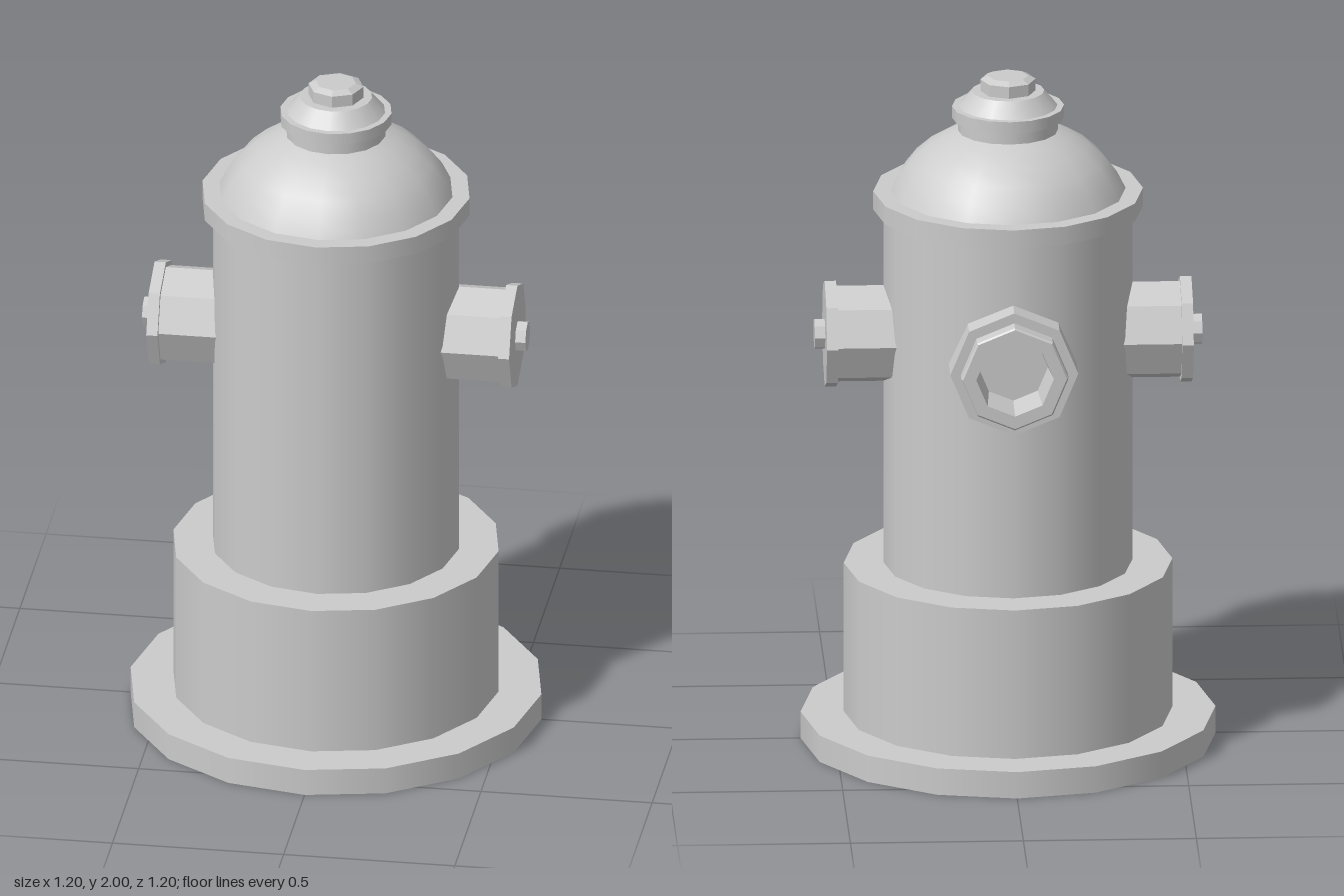
import * as THREE from 'three';

const grey = new THREE.MeshStandardMaterial({ color: 0xcccccc });
const greyFlat = new THREE.MeshStandardMaterial({ color: 0xcccccc, flatShading: true });

function add(parent, name, geometry, material = grey) {
  const mesh = new THREE.Mesh(geometry, material);
  mesh.name = name;
  parent.add(mesh);
  return mesh;
}

// Upright drum between two heights
function drum(parent, name, radius, y0, y1, sides, material, topRadius = radius) {
  const geometry = new THREE.CylinderGeometry(topRadius, radius, y1 - y0, sides);
  geometry.translate(0, (y0 + y1) / 2, 0);
  return add(parent, name, geometry, material);
}

function lathe(points, sides) {
  return new THREE.LatheGeometry(points.map(([r, y]) => new THREE.Vector2(r, y)), sides);
}

// Barrel wall, its rear edge drawn in slightly where the rear outlet joins
function barrelGeometry() {
  const rings = [1.6, 1.4, 1.05, 0.53];
  const geometry = new THREE.CylinderGeometry(0.36, 0.36, 1, 16, 3, true);
  const p = geometry.attributes.position;
  for (let i = 0; i < p.count; i++) {
    const row = Math.floor(i / 17);
    p.setY(i, rings[row]);
    if ((row === 1 || row === 2) && p.getZ(i) < -0.359) p.setZ(i, -0.335);
  }
  return geometry;
}

export function createModel() {
  const model = new THREE.Group();
  model.name = 'hydrant';
  const outletY = 1.225;

  // Stepped base and barrel
  drum(model, 'footPlate', 0.6, 0, 0.08, 16);
  drum(model, 'pedestal', 0.475, 0.08, 0.53, 16);
  add(model, 'barrel', barrelGeometry());
  drum(model, 'collar', 0.39, 1.6, 1.655, 16);

  // Domed bonnet and its crown
  add(model, 'bonnet', lathe([
    [0.34, 1.655], [0.315, 1.705], [0.28, 1.75], [0.235, 1.79],
    [0.185, 1.82], [0.145, 1.837],
  ], 16));
  drum(model, 'crownNeck', 0.145, 1.835, 1.88, 16);
  drum(model, 'crownRing', 0.162, 1.875, 1.91, 16);
  drum(model, 'crownTaper', 0.143, 1.91, 1.955, 16, grey, 0.105);
  drum(model, 'topNut', 0.08, 1.95, 1.99, 8, greyFlat);
  drum(model, 'topNutBevel', 0.08, 1.99, 2.0, 8, greyFlat, 0.058);

  // Capped outlets on both sides
  for (const [side, name] of [[1, 'leftOutlet'], [-1, 'rightOutlet']]) {
    const outlet = new THREE.Group();
    outlet.name = name;
    drum(outlet, 'outletPipe', 0.145, 0.28, 0.497, 8, greyFlat);
    drum(outlet, 'outletCap', 0.16, 0.497, 0.53, 8, greyFlat);
    drum(outlet, 'outletNut', 0.045, 0.53, 0.56, 8, greyFlat);
    outlet.rotation.z = -side * Math.PI / 2;
    outlet.position.y = outletY;
    model.add(outlet);
  }

  // Open rear outlet: stepped octagonal rim, bore and bore floor
  const rear = add(model, 'rearOutlet', lathe([
    [0.185, 0.28], [0.185, 0.41], [0.155, 0.41], [0.155, 0.455],
    [0.15, 0.46], [0.112, 0.46], [0.1, 0.345], [0, 0.345],
  ], 8), greyFlat);
  rear.rotation.x = -Math.PI / 2;
  rear.position.y = outletY;

  return model;
}
